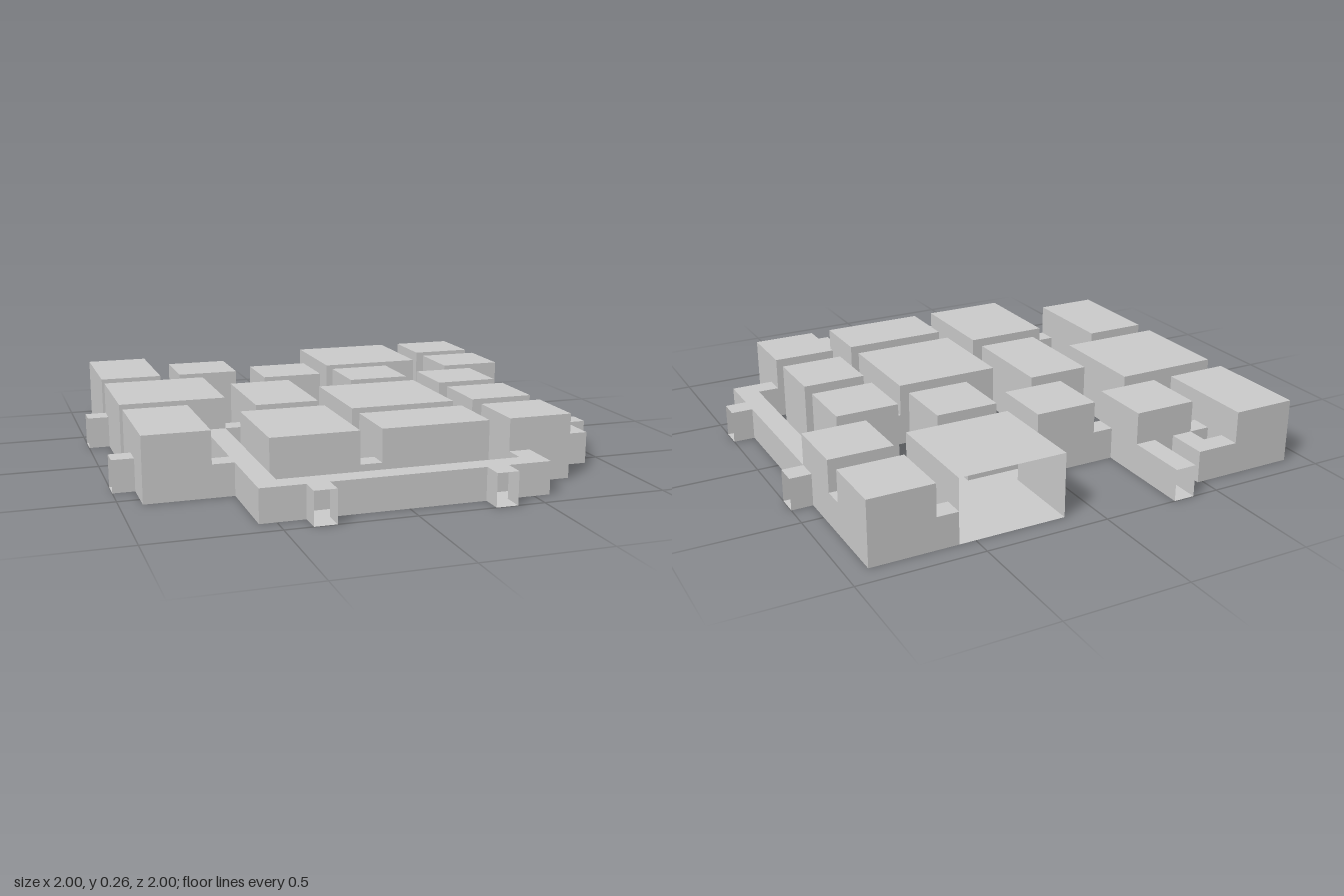
import * as THREE from 'three';

const N = 23, U = 2 / N;            // plan grid: 23 x 23 cells
const ROOM_H = 3, HALL_H = 1.5;     // heights in cells

// plan rectangles as [x0, z0, x1, z1] in cells
const ROOMS = {
  backRightRoom: [1, 1, 4, 6], smallBackRoom: [5, 3, 8, 6],
  rightHall: [1, 7, 6, 12], frontRightRoom: [1, 13, 4, 18],
  narrowRoom: [7, 9, 10, 14], frontHall: [6, 15, 10, 20],
  centreHall: [11, 11, 16, 16], frontCentreRoom: [11, 17, 16, 20],
  frontLeftRoom: [17, 17, 20, 20], leftRoom: [17, 13, 20, 16],
  leftMiddleRoom: [17, 9, 20, 12], innerRoom: [13, 7, 16, 10],
  middleBackRoom: [9, 5, 12, 8], backHall: [13, 1, 18, 6],
  backLeftRoom: [19, 1, 22, 4], leftBackRoom: [19, 5, 22, 8],
};
// each corridor is one or more straight legs
const CORRIDORS = {
  backBend: [[4, 1, 6, 2], [5, 2, 6, 3]],
  backLinks: [[4, 3, 5, 4], [5, 6, 6, 7], [3, 6, 4, 7], [8, 5, 9, 6]],
  middleLinks: [[12, 5, 13, 6], [12, 7, 13, 8], [15, 6, 16, 7], [13, 10, 14, 11]],
  backLeftLinks: [[18, 1, 19, 2], [21, 4, 22, 5], [18, 5, 19, 6]],
  leftPassage: [[21, 8, 22, 18], [20, 9, 21, 10], [20, 17, 21, 18]],
  centreLinks: [[16, 11, 17, 12], [6, 11, 7, 12], [10, 15, 11, 16], [15, 16, 16, 17]],
  frontLinks: [[3, 12, 4, 13], [10, 19, 11, 20], [17, 16, 18, 17]],
  frontPassage: [[5, 12, 6, 21], [4, 17, 5, 18], [5, 21, 18, 22], [17, 20, 18, 21]],
  backExit: [[7, 0, 8, 3]],
  rightExits: [[0, 7, 1, 8], [0, 15, 1, 16]],
  leftExits: [[22, 7, 23, 8], [22, 15, 23, 16]],
  frontExits: [[7, 22, 8, 23], [15, 22, 16, 23]],
};

export function createModel() {
  const group = new THREE.Group();
  const material = new THREE.MeshStandardMaterial({
    color: 0xcccccc, side: THREE.DoubleSide, flatShading: true,
  });
  const heights = new Map(), parts = [];
  const key = (x, z) => x * 100 + z;
  const heightAt = (x, z) => heights.get(key(x, z)) ?? 0;
  const inside = (x, z) => x >= 0 && z >= 0 && x < N && z < N;

  // claim the cells of every part on the plan
  const claim = (name, rects, h) => {
    const cells = [];
    for (const [x0, z0, x1, z1] of rects)
      for (let x = x0; x < x1; x++)
        for (let z = z0; z < z1; z++)
          if (!heights.has(key(x, z))) {
            heights.set(key(x, z), h);
            cells.push([x, z]);
          }
    parts.push({ name, cells, h });
  };
  for (const name in ROOMS) claim(name, [ROOMS[name]], ROOM_H);
  for (const name in CORRIDORS) claim(name, CORRIDORS[name], HALL_H);

  // hollow shell of each part: floor, ceiling and walls down to lower neighbours
  for (const { name, cells, h } of parts) {
    const pos = [];
    const quad = (a, b, c, d) => {
      for (const p of [a, b, c, a, c, d])
        pos.push((p[0] - N / 2) * U, p[1] * U, (p[2] - N / 2) * U);
    };
    const wall = (x0, z0, x1, z1, low) =>
      quad([x0, low, z0], [x1, low, z1], [x1, h, z1], [x0, h, z0]);

    for (const [x, z] of cells) {
      const X = x + 1, Z = z + 1;
      quad([x, h, Z], [X, h, Z], [X, h, z], [x, h, z]);
      quad([x, 0, z], [X, 0, z], [X, 0, Z], [x, 0, Z]);
      // neighbour offset, then the wall's two ends, left to right from outside
      const sides = [
        [0, 1, x, Z, X, Z], [0, -1, X, z, x, z],
        [1, 0, X, Z, X, z], [-1, 0, x, z, x, Z],
      ];
      for (const [dx, dz, ...ends] of sides) {
        // exits stay open at the plan's edge, and the back hall has no back wall
        if (!inside(x + dx, z + dz)) continue;
        if (name === 'backHall' && dz === -1 && z === 1) continue;
        const low = heightAt(x + dx, z + dz);
        if (low < h) wall(...ends, low);
      }
    }
    const geometry = new THREE.BufferGeometry();
    geometry.setAttribute('position', new THREE.Float32BufferAttribute(pos, 3));
    geometry.computeVertexNormals();
    const mesh = new THREE.Mesh(geometry, material);
    mesh.name = name;
    group.add(mesh);
  }
  return group;
}
